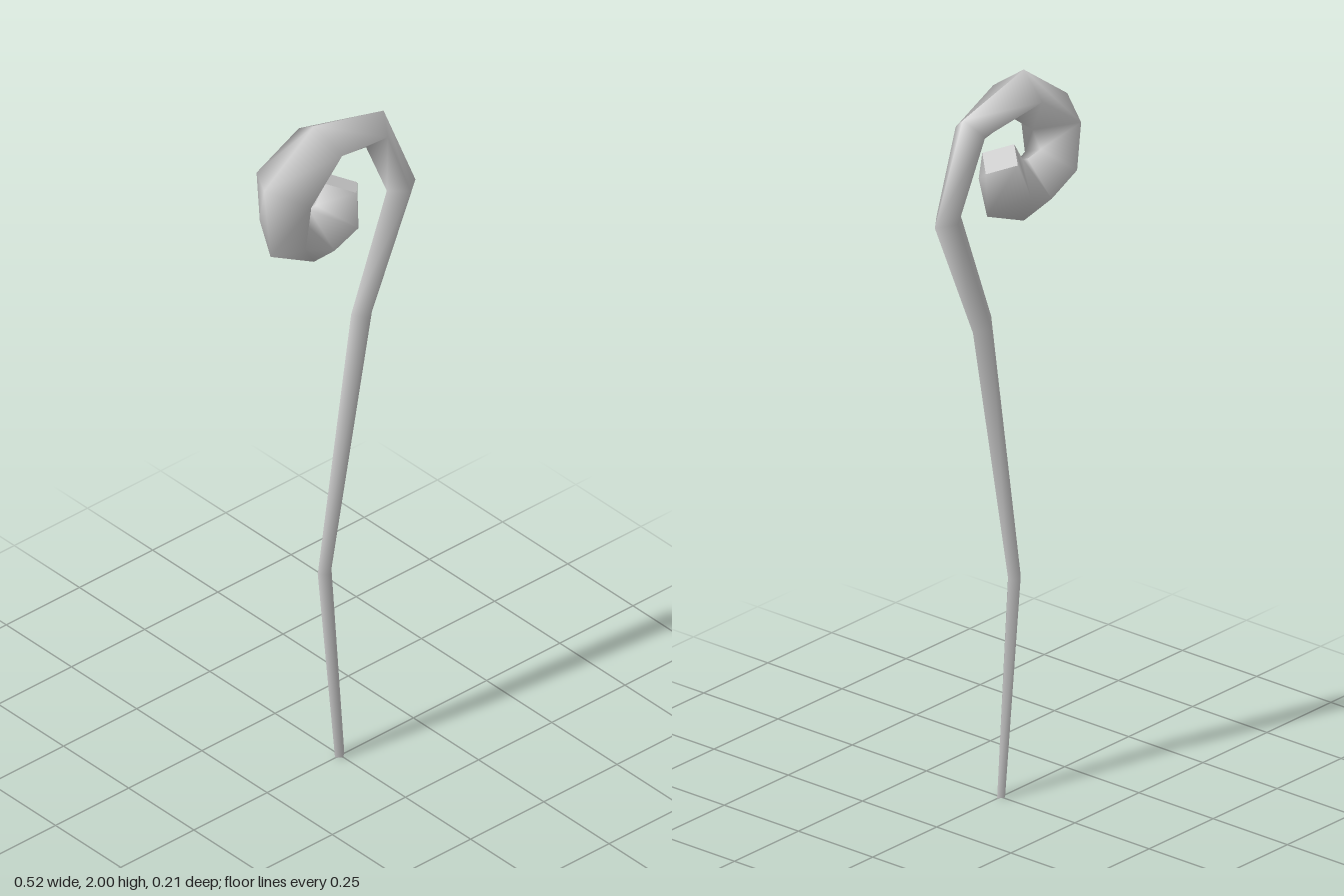
import * as THREE from 'three';

// Cross-sections along the staff: inner x, y, outer x, y, half depth
const SECTIONS = [
  [-0.018, 0.002, 0.014, 0.0, 0.013],
  [-0.077, 0.6, -0.03, 0.595, 0.021],
  [0.037, 1.354, 0.108, 1.33, 0.03],
  [0.159, 1.683, 0.257, 1.673, 0.037],
  [0.088, 1.852, 0.148, 1.938, 0.05],
  [-0.045, 1.88, -0.09, 2.0, 0.083],
  [-0.125, 1.82, -0.26, 1.877, 0.105],
  [-0.155, 1.755, -0.238, 1.662, 0.088],
  [-0.105, 1.746, -0.09, 1.578, 0.088],
  [-0.085, 1.752, 0.053, 1.637, 0.088],
  [-0.053, 1.804, 0.058, 1.757, 0.06],
];

// Four corners of a diamond section, counter-clockwise about the path
function diamond([ix, iy, ox, oy, depth]) {
  const mx = (ix + ox) / 2, my = (iy + oy) / 2;
  return [[ix, iy, 0], [mx, my, depth], [ox, oy, 0], [mx, my, -depth]];
}

function makeGeometry(points, index) {
  const g = new THREE.BufferGeometry();
  g.setAttribute('position', new THREE.Float32BufferAttribute(points.flat(), 3));
  g.setIndex(index);
  g.computeVertexNormals();
  return g;
}

export function createModel() {
  const group = new THREE.Group();
  group.name = 'curledStaff';
  const material = new THREE.MeshStandardMaterial({ color: 0xcccccc });
  const add = (name, geometry) => {
    const mesh = new THREE.Mesh(geometry, material);
    mesh.name = name;
    group.add(mesh);
  };

  // Smooth four-sided shaft running up into the curl
  const rings = SECTIONS.map(diamond);
  const index = [];
  for (let i = 0; i < rings.length - 1; i++) {
    for (let j = 0; j < 4; j++) {
      const a = i * 4 + j, b = i * 4 + (j + 1) % 4;
      index.push(a, b, b + 4, a, b + 4, a + 4);
    }
  }
  add('shaftAndCurl', makeGeometry(rings.flat(), index));

  // Flat ends
  add('footCap', makeGeometry(rings[0], [0, 2, 1, 0, 3, 2]));
  add('curlTipCap', makeGeometry(rings[rings.length - 1], [0, 1, 2, 0, 2, 3]));
  return group;
}
